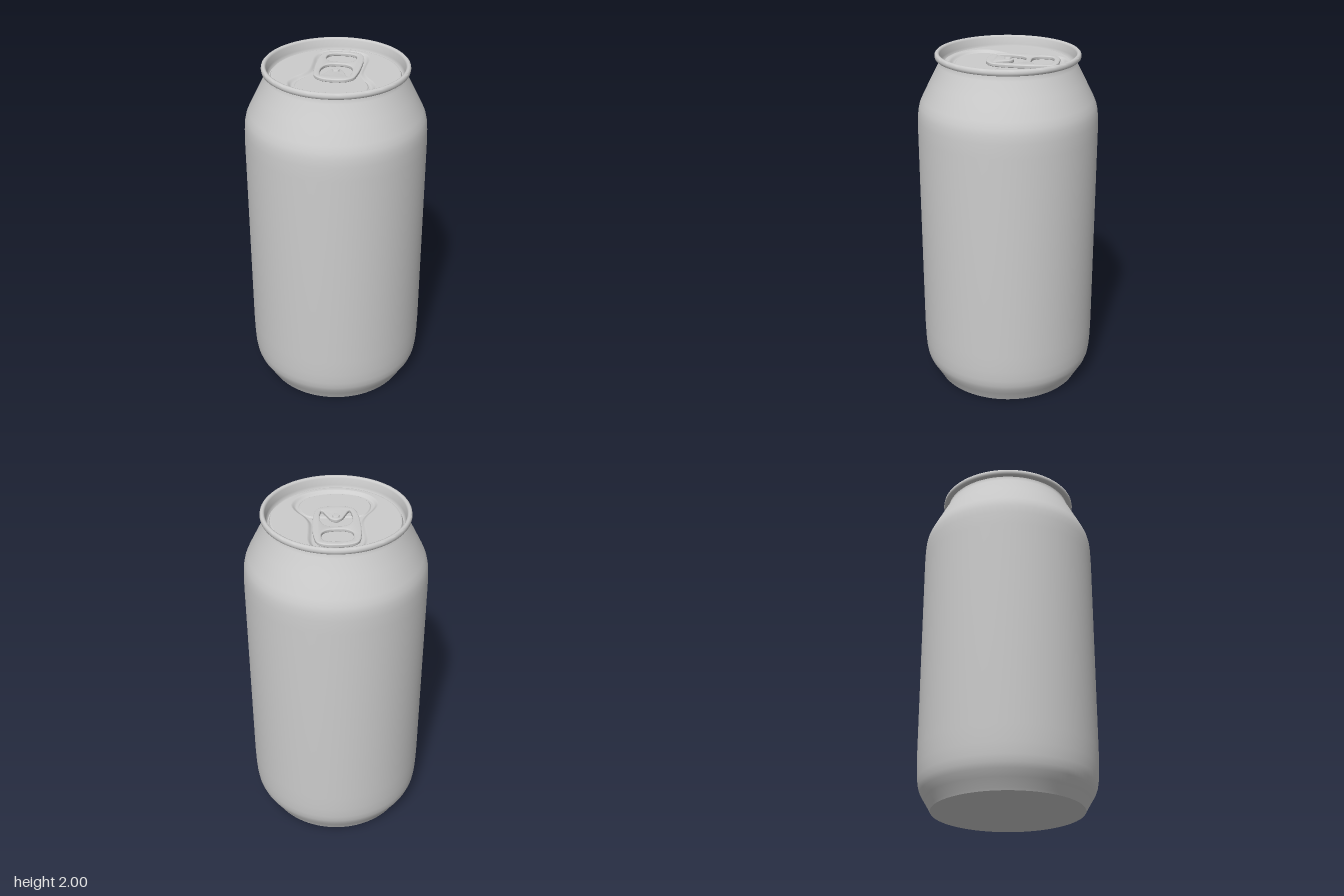
import * as THREE from 'three';
import { toCreasedNormals } from 'three/addons/utils/BufferGeometryUtils.js';

const SEGMENTS = 96;
const LID_Y = 1.945, FLOOR_Y = 1.93;

const aluminium = new THREE.MeshStandardMaterial({ color: 0xcccccc });
aluminium.name = 'aluminium';

function part(name, geometry, y = 0) {
  const mesh = new THREE.Mesh(geometry, aluminium);
  mesh.name = name;
  mesh.position.y = y;
  return mesh;
}

// Smooth closed outline, mirrored in x, from half a list of [x, z] running front to back
function outline(half, count) {
  const mirrored = half.slice(1, -1).reverse().map(([x, z]) => [-x, z]);
  const points = [...half, ...mirrored].map(([x, z]) => new THREE.Vector3(x, -z, 0));
  const curve = new THREE.CatmullRomCurve3(points, true, 'centripetal');
  return curve.getSpacedPoints(count).slice(0, -1).map(p => new THREE.Vector2(p.x, p.y));
}

// Move an outline inwards along its normals
function inset(ring, distance) {
  const n = ring.length;
  return ring.map((p, i) => {
    const t = ring[(i + 1) % n].clone().sub(ring[(i + n - 1) % n]).normalize();
    return new THREE.Vector2(p.x - t.y * distance, p.y + t.x * distance);
  });
}

// Soft S-shaped slope from an outline to its inset
function slope(ring, width, fromY, toY, steps = 6) {
  const n = ring.length, positions = [], index = [];
  for (let s = 0; s <= steps; s++) {
    const t = s / steps;
    const y = fromY + (toY - fromY) * t * t * (3 - 2 * t);
    inset(ring, width * t).forEach(p => positions.push(p.x, y, -p.y));
    if (s === steps) break;
    for (let i = 0; i < n; i++) {
      const a = s * n + i, b = s * n + (i + 1) % n;
      index.push(a, b, a + n, b, b + n, a + n);
    }
  }
  const geometry = new THREE.BufferGeometry();
  geometry.setAttribute('position', new THREE.Float32BufferAttribute(positions, 3));
  geometry.setIndex(index);
  geometry.computeVertexNormals();
  return geometry;
}

function flat(ring, holes = []) {
  const shape = new THREE.Shape(ring);
  shape.holes = holes.map(h => new THREE.Path(h));
  return new THREE.ShapeGeometry(shape).rotateX(-Math.PI / 2);
}

function lathe(profile, segments, crease) {
  const points = profile.map(([r, y]) => new THREE.Vector2(r, y));
  return toCreasedNormals(new THREE.LatheGeometry(points, segments), crease);
}

export function createModel() {
  const can = new THREE.Group();
  can.name = 'can';

  // Domed base, wall, shoulder, rolled rim and countersink in one profile
  can.add(part('body', lathe([
    [0, 0.03], [0.15, 0.026], [0.3, 0.015], [0.39, 0.004], [0.415, 0],
    [0.43, 0.004], [0.437, 0.018], [0.465, 0.066], [0.488, 0.105], [0.499, 0.135],
    [0.505, 0.175], [0.509, 0.24], [0.511, 0.34],
    [0.511, 1.55], [0.509, 1.63], [0.505, 1.675], [0.497, 1.71], [0.482, 1.745],
    [0.43, 1.848], [0.385, 1.935], [0.376, 1.957], [0.376, 1.965],
    [0.398, 1.966], [0.404, 1.971], [0.406, 1.982], [0.404, 1.993], [0.398, 1.999],
    [0.39, 2], [0.383, 1.997], [0.379, 1.988], [0.374, 1.95], [0.371, 1.935],
    [0.366, 1.929], [0.36, 1.93], [0.356, 1.937], [0.353, 1.943], [0.346, LID_Y],
  ], SEGMENTS, 0.75)));

  // Lid with a keyhole-shaped recess
  const lidEdge = [];
  for (let i = 0; i < SEGMENTS; i++) {
    const a = i / SEGMENTS * Math.PI * 2;
    lidEdge.push(new THREE.Vector2(Math.cos(a) * 0.346, Math.sin(a) * 0.346));
  }
  const recess = outline([
    [0, 0.328], [0.1, 0.312], [0.18, 0.27], [0.226, 0.21], [0.238, 0.15], [0.216, 0.088],
    [0.178, 0.03], [0.155, -0.03], [0.155, -0.12], [0.157, -0.22], [0.138, -0.28],
    [0.09, -0.318], [0, -0.33],
  ], 120);
  can.add(part('lid', flat(lidEdge, [recess]), LID_Y));
  can.add(part('recessSlope', slope(recess, 0.025, LID_Y, FLOOR_Y)));
  can.add(part('recessFloor', flat(inset(recess, 0.025)), FLOOR_Y));

  // Raised tear panel of the mouth
  const mouth = outline([
    [0, 0.297], [0.08, 0.287], [0.15, 0.253], [0.19, 0.2], [0.2, 0.15], [0.182, 0.085],
    [0.15, 0.045], [0.115, 0.035], [0.06, 0.03], [0, 0.03],
  ], 90);
  can.add(part('mouthSlope', slope(mouth, 0.008, FLOOR_Y, FLOOR_Y + 0.006, 4)));
  can.add(part('mouthPanel', flat(inset(mouth, 0.008)), FLOOR_Y + 0.006));

  // Pull tab with finger hole and a slot around the rivet tongue
  const tab = new THREE.Shape(outline([
    [0, 0.12], [0.06, 0.112], [0.105, 0.078], [0.12, 0.02], [0.128, -0.09], [0.124, -0.2],
    [0.106, -0.26], [0.06, -0.284], [0, -0.288],
  ], 80));
  const fingerHole = outline([
    [0, -0.13], [0.048, -0.135], [0.078, -0.16], [0.085, -0.193], [0.076, -0.233],
    [0.045, -0.253], [0, -0.256],
  ], 48);
  const tongueSlot = outline([
    [0, -0.034], [0.03, -0.018], [0.052, 0.025], [0.075, 0.07], [0.087, 0.02],
    [0.086, -0.035], [0.07, -0.075], [0.04, -0.097], [0, -0.1],
  ], 64);
  tab.holes = [new THREE.Path(fingerHole), new THREE.Path(tongueSlot)];
  const tabGeometry = new THREE.ExtrudeGeometry(tab, {
    depth: 0.008, bevelThickness: 0.006, bevelSize: 0.006, bevelOffset: -0.006, bevelSegments: 3,
  }).rotateX(-Math.PI / 2);
  can.add(part('pullTab', toCreasedNormals(tabGeometry, 0.7), 1.944));

  // Rivet holding the tab
  can.add(part('rivet', lathe([
    [0.02, FLOOR_Y], [0.02, 1.961], [0.017, 1.966], [0.01, 1.968], [0, 1.969],
  ], 24, 0.7)));

  return can;
}
